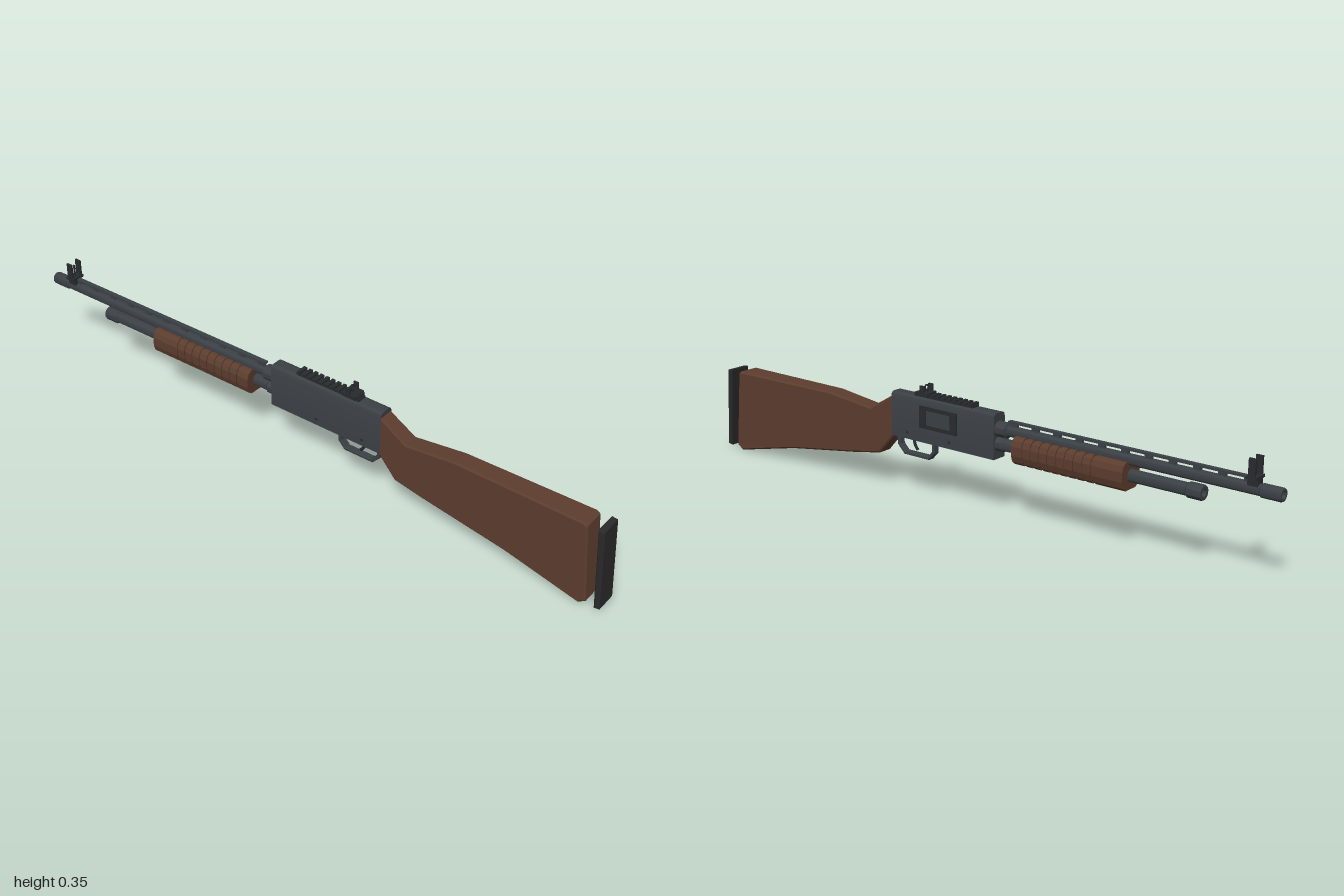
import * as THREE from 'three';
import { toCreasedNormals } from 'three/addons/utils/BufferGeometryUtils.js';

const mat = (color) => new THREE.MeshStandardMaterial({ color });
const steel = mat(0x3b4045), dark = mat(0x282b2e), wood = mat(0x5c3d2e), rubber = mat(0x292929);

export function createModel() {
  const root = new THREE.Group();

  const add = (name, geo, material, x = 0, y = 0, z = 0) => {
    const m = new THREE.Mesh(geo, material);
    m.name = name;
    m.position.set(x, y, z);
    root.add(m);
    return m;
  };
  const box = (name, w, h, d, x, y, z, material = dark) =>
    add(name, new THREE.BoxGeometry(w, h, d), material, x, y, z);

  const shapeOf = (pts) => new THREE.Shape(pts.map(([a, b]) => new THREE.Vector2(a, b)));

  // Side profile in (z, y), extruded symmetrically across x with a small bevel
  const sideExtrude = (shape, width, bevel) => {
    const g = new THREE.ExtrudeGeometry(shape, {
      depth: width - 2 * bevel, bevelEnabled: bevel > 0, bevelSize: bevel,
      bevelThickness: bevel, bevelOffset: -bevel, bevelSegments: 1, curveSegments: 8,
    });
    g.translate(0, 0, -(width - 2 * bevel) / 2);
    return g.rotateY(-Math.PI / 2);
  };

  // Cross-section in (x, y), extruded from z0 to z1
  const alongZ = (shape, z0, z1) => new THREE.ExtrudeGeometry(shape, {
    depth: z1 - z0, bevelEnabled: false, curveSegments: 6,
  }).translate(0, 0, z0);

  // Lathe profile [radius, distance forward], turned so that forward is -z
  const turned = (pts) => toCreasedNormals(
    new THREE.LatheGeometry(pts.map(([r, d]) => new THREE.Vector2(r, d)), 24).rotateX(-Math.PI / 2), 0.6);

  // Stock: profile extrusion that grows wider toward the butt
  const stockGeo = sideExtrude(shapeOf([
    [0.275, 0.18], [0.335, 0.113], [0.435, 0.095], [0.7, 0.055], [0.935, 0.003],
    [0.957, 0.018], [0.935, 0.262], [0.925, 0.269], [0.53, 0.269], [0.367, 0.25], [0.275, 0.305],
  ]), 0.072, 0.005);
  const p = stockGeo.attributes.position;
  for (let i = 0; i < p.count; i++) {
    const t = THREE.MathUtils.clamp((p.getZ(i) - 0.28) / 0.62, 0, 1);
    p.setX(i, p.getX(i) * THREE.MathUtils.lerp(0.69, 1, t));
  }
  stockGeo.computeVertexNormals();
  add('stock', stockGeo, wood);

  // Butt pad, set off from the stock
  add('buttPad', sideExtrude(shapeOf([
    [0.983, 0.011], [1.0, 0.014], [0.984, 0.266], [0.966, 0.268],
  ]), 0.073, 0.003), rubber);

  // Receiver with rounded upper edges
  const rs = new THREE.Shape();
  rs.moveTo(-0.025, 0.18);
  rs.lineTo(0.025, 0.18);
  rs.lineTo(0.025, 0.3);
  rs.quadraticCurveTo(0.025, 0.315, 0.01, 0.315);
  rs.lineTo(-0.01, 0.315);
  rs.quadraticCurveTo(-0.025, 0.315, -0.025, 0.3);
  add('receiver', toCreasedNormals(alongZ(rs, -0.105, 0.282), 0.6), steel);

  // Ejection port with raised frame on the left side
  const frame = shapeOf([[0.03, 0.225], [0.17, 0.225], [0.17, 0.292], [0.03, 0.292]]);
  frame.holes.push(new THREE.Path([[0.055, 0.236], [0.055, 0.281], [0.145, 0.281], [0.145, 0.236]]
    .map(([a, b]) => new THREE.Vector2(a, b))));
  add('portFrame', sideExtrude(frame, 0.006, 0), dark, 0.026);
  box('portCover', 0.003, 0.045, 0.09, 0.025, 0.2585, 0.1, steel);
  for (const z of [0.22, 0.06]) {
    const pin = add('receiverPin', new THREE.CylinderGeometry(0.004, 0.004, 0.053, 10), dark, 0, 0.2, z);
    pin.rotation.z = Math.PI / 2;
  }

  // Trigger guard loop and curved trigger
  const guard = shapeOf([[0.128, 0.184], [0.128, 0.148], [0.15, 0.124], [0.247, 0.124], [0.272, 0.15], [0.276, 0.184]]);
  guard.holes.push(new THREE.Path([[0.138, 0.176], [0.265, 0.176], [0.261, 0.153], [0.243, 0.134],
    [0.154, 0.134], [0.138, 0.152]].map(([a, b]) => new THREE.Vector2(a, b))));
  add('triggerGuard', sideExtrude(guard, 0.022, 0.002), steel);
  const triggerPath = new THREE.QuadraticBezierCurve3(
    new THREE.Vector3(0, 0.185, 0.215), new THREE.Vector3(0, 0.158, 0.218), new THREE.Vector3(0, 0.142, 0.2));
  add('trigger', new THREE.TubeGeometry(triggerPath, 8, 0.0045, 8), dark);

  // Barrel with muzzle collar and open bore
  add('barrel', turned([
    [0.023, 0.1], [0.023, 0.138], [0.016, 0.142], [0.016, 0.938], [0.019, 0.942],
    [0.019, 0.996], [0.017, 1.0], [0.011, 1.0], [0.011, 0.94], [0, 0.94],
  ]), steel, 0, 0.268, 0);

  // Magazine tube with end cap
  add('magazineTube', turned([
    [0.022, 0.1], [0.022, 0.125], [0.018, 0.13], [0.018, 0.728], [0.022, 0.732],
    [0.022, 0.771], [0.02, 0.775], [0.011, 0.775], [0.011, 0.76], [0, 0.76],
  ]), steel, 0, 0.224, 0);

  // Ventilated rib on its posts
  box('rib', 0.014, 0.006, 0.76, 0, 0.296, -0.522, steel);
  for (let i = 0; i < 11; i++) box('ribPost', 0.01, 0.016, 0.022, 0, 0.287, -0.16 - i * 0.074, steel);

  // Pump grip: ridges around a slimmer core
  const gripSection = (s) => shapeOf([
    [-0.024, -0.04], [0.024, -0.04], [0.037, -0.03], [0.0425, -0.012], [0.0425, 0.016],
    [0.036, 0.032], [0.025, 0.04], [-0.025, 0.04], [-0.036, 0.032], [-0.0425, 0.016],
    [-0.0425, -0.012], [-0.037, -0.03]].map(([x, y]) => [x * s, y * s]));
  const ridge = (a, b, s = 1) => add('pumpGrip', alongZ(gripSection(s), a, b), wood, 0, 0.225, 0);
  ridge(-0.54, -0.19, 0.92);
  ridge(-0.55, -0.455);
  ridge(-0.215, -0.18);
  for (let i = 0; i < 8; i++) ridge(-0.447 + i * 0.029, -0.447 + i * 0.029 + 0.021);

  // Accessory rail with teeth
  box('rail', 0.03, 0.008, 0.22, 0, 0.317, 0.09);
  for (let i = 0; i < 11; i++) box('railTooth', 0.036, 0.008, 0.011, 0, 0.323, -0.012 + i * 0.0202);

  // Rear sight: base, guard wings, ring
  box('rearSightBase', 0.044, 0.011, 0.045, 0, 0.324, 0.168);
  for (const s of [-1, 1]) box('rearSightWing', 0.005, 0.024, 0.016, s * 0.019, 0.338, 0.165);
  box('rearSightStem', 0.006, 0.008, 0.008, 0, 0.331, 0.165);
  add('rearSightRing', new THREE.TorusGeometry(0.0075, 0.0025, 8, 20), dark, 0, 0.342, 0.165);

  // Front sight: clamp, base, wings and centre post
  box('frontSightClamp', 0.026, 0.024, 0.03, 0, 0.286, -0.918);
  box('frontSightBase', 0.044, 0.008, 0.03, 0, 0.3, -0.918);
  for (const s of [-1, 1]) box('frontSightWing', 0.006, 0.05, 0.02, s * 0.018, 0.327, -0.918);
  box('frontSightPost', 0.004, 0.038, 0.005, 0, 0.322, -0.918);

  return root;
}
